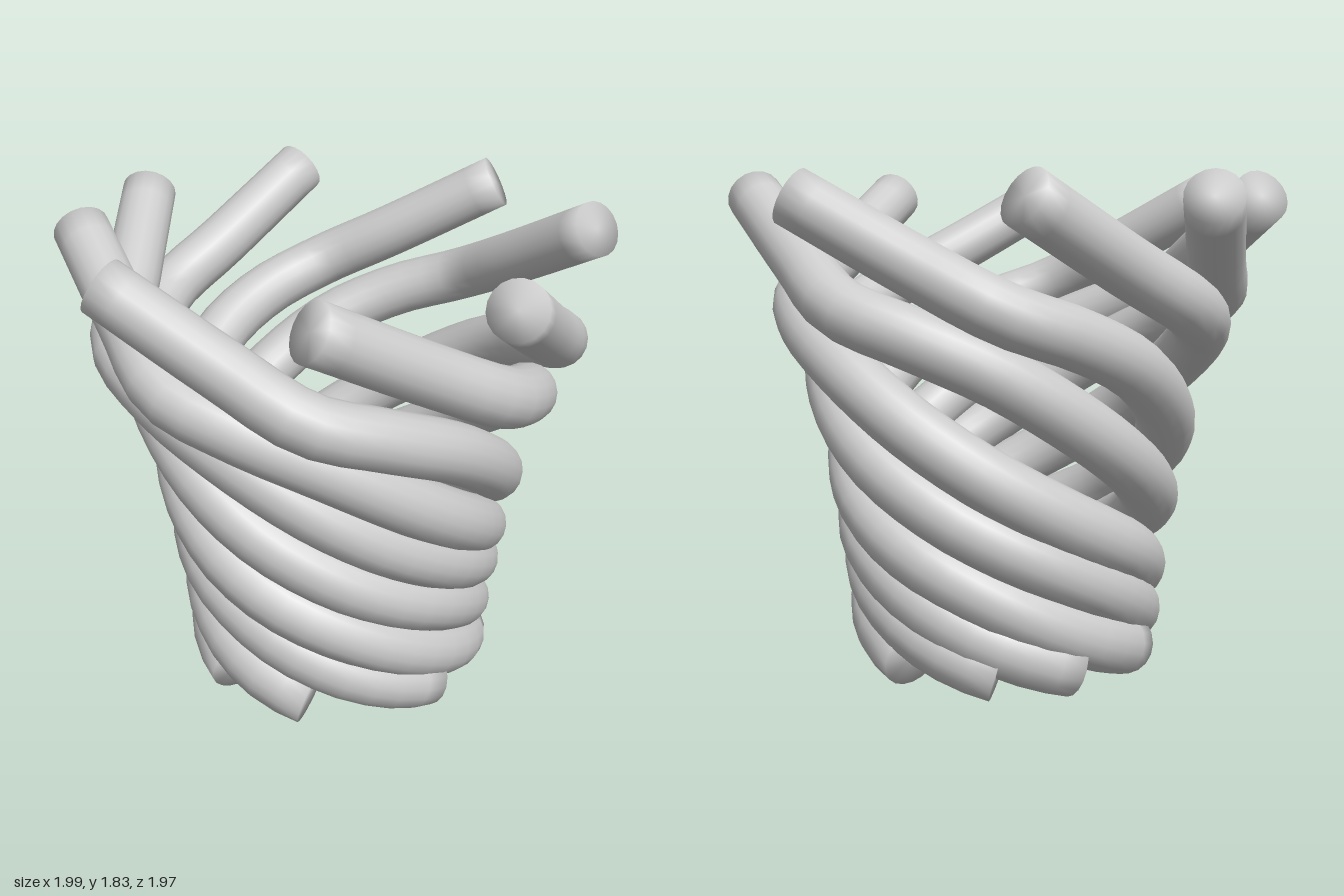
import * as THREE from 'three';
import { mergeVertices } from 'three/addons/utils/BufferGeometryUtils.js';

const TOP_RADIUS = 0.101, BASE_RADIUS = 0.114, LENGTH_SEGMENTS = 40, SIDES = 18;
const AXIS_X = 0.016, AXIS_Z = -0.012;

// Angle in degrees at which each strand starts at the rim, from +x towards +z
const STARTS = [32.5, 90.5, 132, 182, 221.5, 254, 297, 349];

// Path shared by all strands: degrees turned, distance from the axis, height
const PROFILE = [
  [0, 0.92, 1.748], [27, 0.772, 1.525], [48, 0.785, 1.385], [68, 0.725, 1.29],
  [90, 0.665, 1.17], [117, 0.61, 0.985], [142, 0.572, 0.82], [168, 0.54, 0.675],
  [190, 0.522, 0.57], [211, 0.508, 0.48], [240, 0.488, 0.355], [269, 0.475, 0.237],
  [294, 0.472, 0.155], [311, 0.47, 0.112],
];

// Tube that thickens downwards, with closed ends and smooth normals
function cappedTube(curve) {
  const tube = new THREE.TubeGeometry(curve, LENGTH_SEGMENTS, 1, SIDES, false);
  const ring = SIDES + 1;
  const positions = [];
  const v = new THREE.Vector3();
  for (let j = 0; j <= LENGTH_SEGMENTS; j++) {
    const t = j / LENGTH_SEGMENTS;
    const centre = curve.getPointAt(t);
    const radius = THREE.MathUtils.lerp(TOP_RADIUS, BASE_RADIUS, t);
    for (let i = 0; i < ring; i++) {
      v.fromBufferAttribute(tube.attributes.position, j * ring + i);
      positions.push(...v.sub(centre).multiplyScalar(radius).add(centre).toArray());
    }
  }
  const index = Array.from(tube.index.array);
  const first = positions.length / 3;
  const lastRing = LENGTH_SEGMENTS * ring;
  positions.push(...curve.getPointAt(0).toArray(), ...curve.getPointAt(1).toArray());
  for (let i = 0; i < SIDES; i++) {
    index.push(i, i + 1, first);
    index.push(lastRing + i + 1, lastRing + i, first + 1);
  }
  const geometry = new THREE.BufferGeometry();
  geometry.setAttribute('position', new THREE.Float32BufferAttribute(positions, 3));
  geometry.setIndex(index);
  const merged = mergeVertices(geometry, 1e-5);
  merged.computeVertexNormals();
  return merged;
}

export function createModel() {
  const model = new THREE.Group();
  model.name = 'twistedBasket';
  const material = new THREE.MeshStandardMaterial({ color: 0xcccccc });

  // Strands spiral down from the flared rim to the narrow base
  STARTS.forEach((start, i) => {
    const points = PROFILE.map(([turn, r, y]) => {
      const a = THREE.MathUtils.degToRad(start - turn);
      return new THREE.Vector3(AXIS_X + r * Math.cos(a), y, AXIS_Z + r * Math.sin(a));
    });
    const strand = new THREE.Mesh(cappedTube(new THREE.CatmullRomCurve3(points)), material);
    strand.name = `strand${i + 1}`;
    model.add(strand);
  });
  return model;
}
